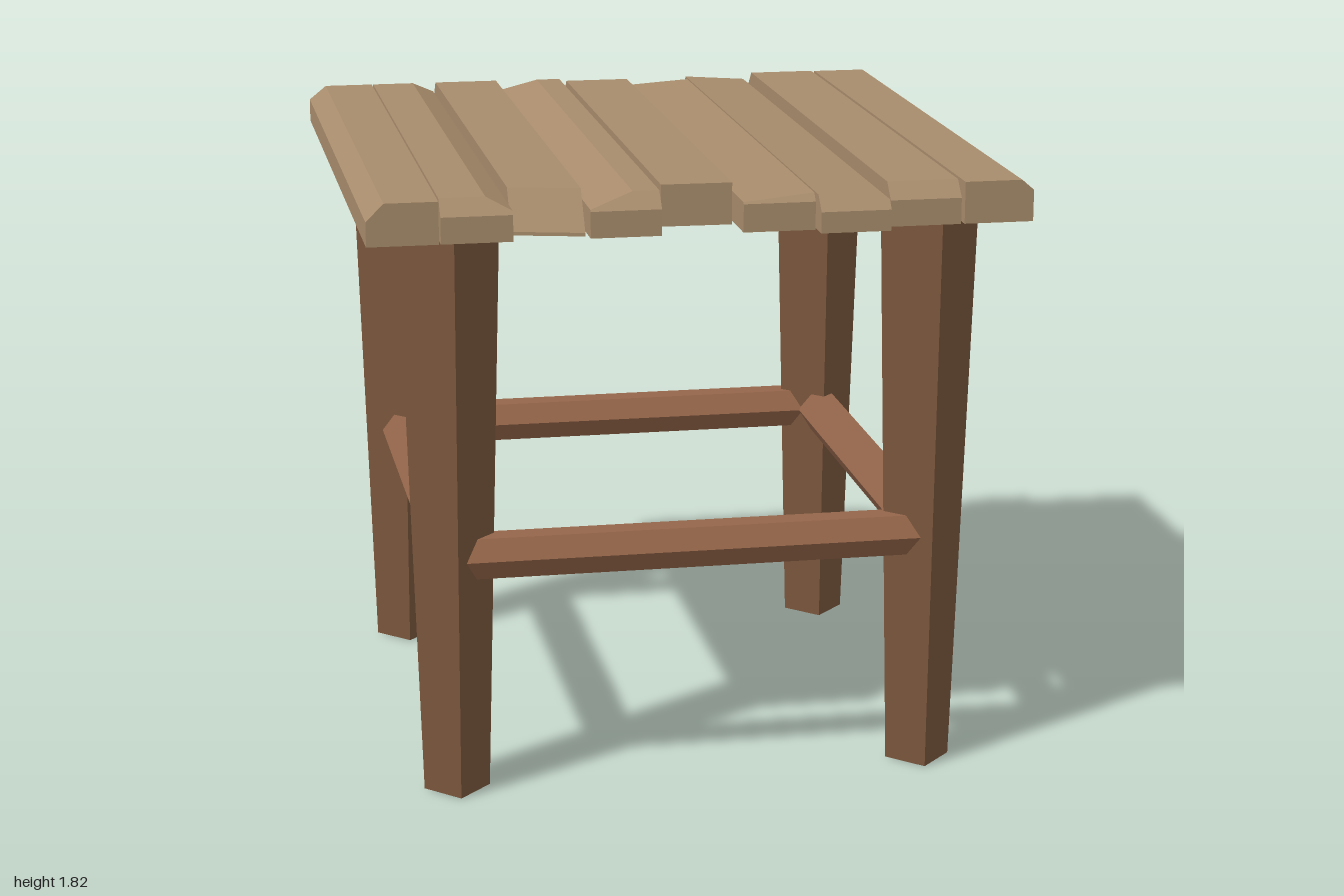
import * as THREE from 'three';
import { ConvexGeometry } from 'three/addons/geometries/ConvexGeometry.js';

const material = (color) => new THREE.MeshStandardMaterial({ color, flatShading: true });
const BASE = 1.7;   // underside of the seat
const TOP = 1.82;   // upper face of a full-height plank

// A plank is the hull of its cross-section: whole between the end chamfers,
// and cut down to the chamfer height at the two ends.
// top: [x, y] points of the upper outline, left to right.
// front / back: { z: [at first x, at last x], cut: chamfer height, slope: inset per unit height }
function plankGeometry(top, front, back) {
  const x0 = top[0][0], x1 = top[top.length - 1][0];
  const outline = [[x0, BASE], ...top, [x1, BASE]];
  const points = [];
  for (const [end, sign] of [[front, 1], [back, -1]]) {
    const { z, cut = TOP, slope = 1 } = end;
    for (const [x, y] of outline) {
      const zEnd = THREE.MathUtils.lerp(z[0], z[1], (x - x0) / (x1 - x0));
      points.push(new THREE.Vector3(x, Math.min(y, cut), zEnd));
      if (y > cut) points.push(new THREE.Vector3(x, y, zEnd - sign * slope * (y - cut)));
    }
  }
  return new ConvexGeometry(points);
}

const flat = (a, b) => [[a, TOP], [b, TOP]];
const end = (z, cut, slope) => ({ z: Array.isArray(z) ? z : [z, z], cut, slope });

export function createModel() {
  const group = new THREE.Group();
  group.name = 'stool';
  const add = (name, geometry, mat, parent = group) => {
    const mesh = new THREE.Mesh(geometry, mat);
    mesh.name = name;
    parent.add(mesh);
    return mesh;
  };

  const plankWood = material(0xa88c6c);
  const legWood = material(0x7b573d);
  const railWood = material(0x95664a);

  // Seat planks, each cut a little differently
  const seat = new THREE.Group();
  seat.name = 'seat';
  group.add(seat);
  const planks = [
    [[[-0.945, 1.77], [-0.895, TOP], [-0.745, TOP]], end(0.95), end(-0.95, 1.78)],
    [[[-0.74, TOP], [-0.61, TOP], [-0.54, 1.785]], end(0.95, 1.775), end(-0.95, 1.78)],
    [flat(-0.535, -0.335), end([0.87, 0.92], 1.71, 0.7), end(-0.95, 1.78)],
    [[[-0.325, 1.78], [-0.2, TOP], [-0.125, TOP]], end(0.95, 1.775), end(-0.95, 1.775)],
    [flat(-0.107, 0.095), end([0.835, 0.84]), end(-0.9, 1.785)],
    [[[0.105, 1.785], [0.31, 1.802]], end(0.95, 1.78), end(-0.95, 1.78)],
    [[[0.315, 1.802], [0.515, 1.785]], end(1, 1.76), end(-1, 1.78)],
    [flat(0.525, 0.73), end(0.95, 1.775), end(-0.95, 1.78)],
    [[[0.74, TOP], [0.905, TOP], [0.94, 1.79]], end(0.95), end(-0.95, 1.775)],
  ];
  for (const plank of planks) add('seatPlank', plankGeometry(...plank), plankWood, seat);

  // Four tapered square legs, corners facing the axes
  const legX = { left: 0.71, right: -0.69 };
  const legZ = { front: 0.69, back: -0.69 };
  const legGeometry = new THREE.CylinderGeometry(0.146, 0.097, 1.71, 4);
  for (const [row, z] of Object.entries(legZ)) {
    for (const [side, x] of Object.entries(legX)) {
      const name = row + (side === 'left' ? 'Left' : 'Right') + 'Leg';
      add(name, legGeometry, legWood).position.set(x, 1.71 / 2, z);
    }
  }

  // Hexagonal rails with flat tops, running between the leg centres
  const railGeometry = new THREE.CylinderGeometry(0.07, 0.07, 1.39, 6);
  for (const [name, z] of [['frontRail', 0.71], ['backRail', -0.7]]) {
    const rail = add(name, railGeometry, railWood);
    rail.rotation.set(0, Math.PI / 2, Math.PI / 2, 'ZXY');
    rail.rotation.set(0, 0, Math.PI / 2);
    rail.position.set(0.01, 0.72, z);
  }
  for (const [name, x] of [['leftRail', 0.71], ['rightRail', -0.69]]) {
    const rail = add(name, railGeometry, railWood);
    // roll a twelfth of a turn so the flat faces point up and down
    rail.rotation.set(Math.PI / 2, Math.PI / 6, 0, 'XYZ');
    rail.position.set(x, 0.72, 0);
  }
  return group;
}
